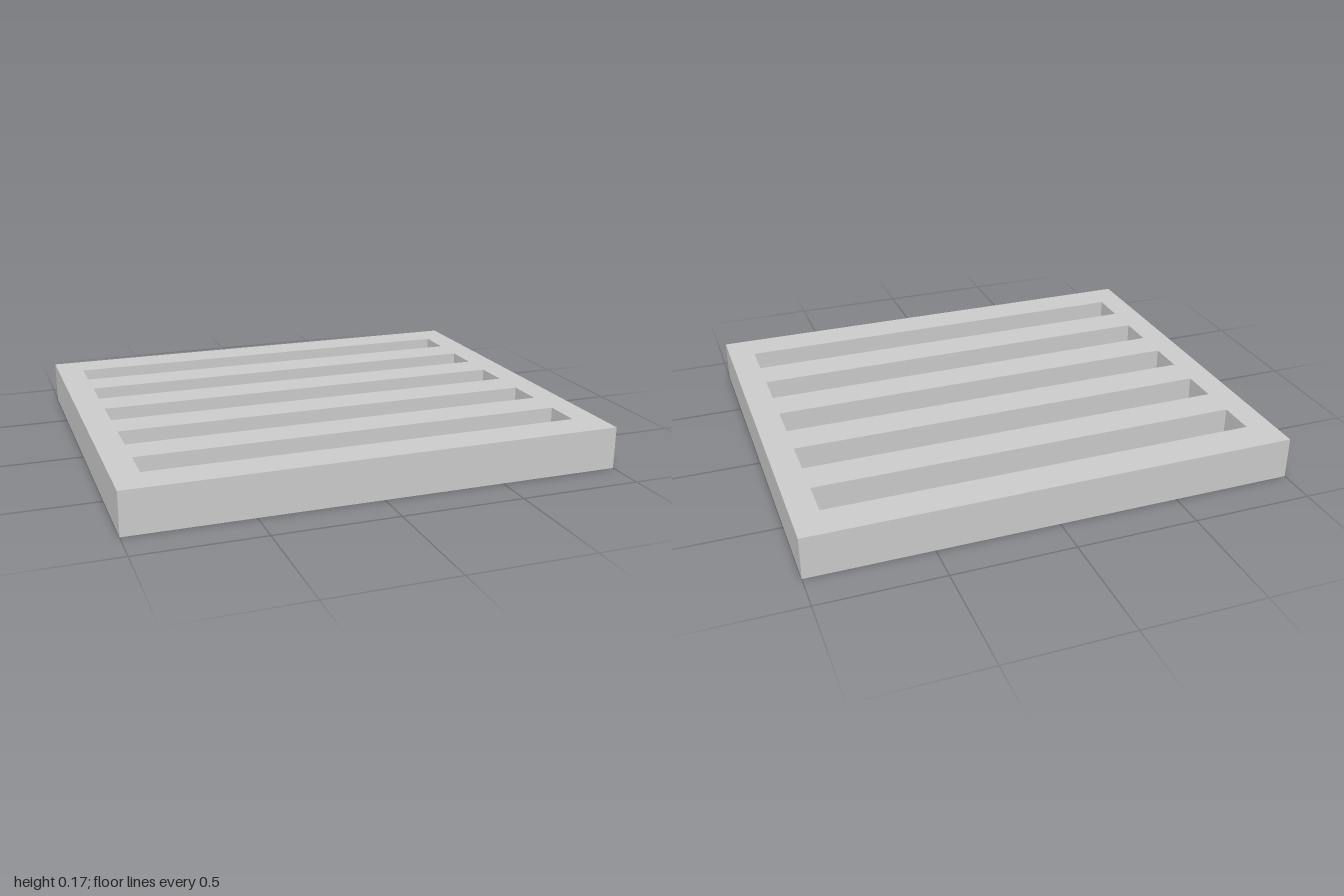
import * as THREE from 'three';
import { mergeGeometries } from 'three/addons/utils/BufferGeometryUtils.js';

const WIDTH = 2, DEPTH = 1.68, HEIGHT = 0.174;
const SLOTS = 5, SLOT_LENGTH = 1.78, SLOT_WIDTH = 0.158, PITCH = 0.306, FLOOR = 0.04;

// Box standing on y = bottom, without its top face; inward turns it into a pocket
function openBox(w, d, bottom, top, z, inward) {
  const geo = new THREE.BoxGeometry(w, top - bottom, d);
  const index = Array.from(geo.index.array);
  index.splice(12, 6); // the third face of a box is its top
  if (inward) {
    index.reverse();
    const n = geo.attributes.normal;
    for (let i = 0; i < n.count; i++) n.setXYZ(i, -n.getX(i), -n.getY(i), -n.getZ(i));
  }
  geo.setIndex(index);
  return geo.translate(0, (top + bottom) / 2, z);
}

function rectangle(path, w, d, z) {
  path.moveTo(-w / 2, z - d / 2);
  path.lineTo(w / 2, z - d / 2);
  path.lineTo(w / 2, z + d / 2);
  path.lineTo(-w / 2, z + d / 2);
  path.closePath();
  return path;
}

export function createModel() {
  const group = new THREE.Group();
  group.name = 'slottedTray';
  const material = new THREE.MeshStandardMaterial({ color: 0xcccccc });

  // Outer walls and underside
  const parts = [openBox(WIDTH, DEPTH, 0, HEIGHT, 0, false)];

  // Top face with slot openings, and the blind pockets below them
  const top = rectangle(new THREE.Shape(), WIDTH, DEPTH, 0);
  for (let i = 0; i < SLOTS; i++) {
    const z = (i - (SLOTS - 1) / 2) * PITCH;
    top.holes.push(rectangle(new THREE.Path(), SLOT_LENGTH, SLOT_WIDTH, z));
    parts.push(openBox(SLOT_LENGTH, SLOT_WIDTH, FLOOR, HEIGHT, z, true));
  }
  parts.push(new THREE.ShapeGeometry(top).rotateX(-Math.PI / 2).translate(0, HEIGHT, 0));

  const tray = new THREE.Mesh(mergeGeometries(parts), material);
  tray.name = 'trayBody';
  group.add(tray);
  return group;
}
